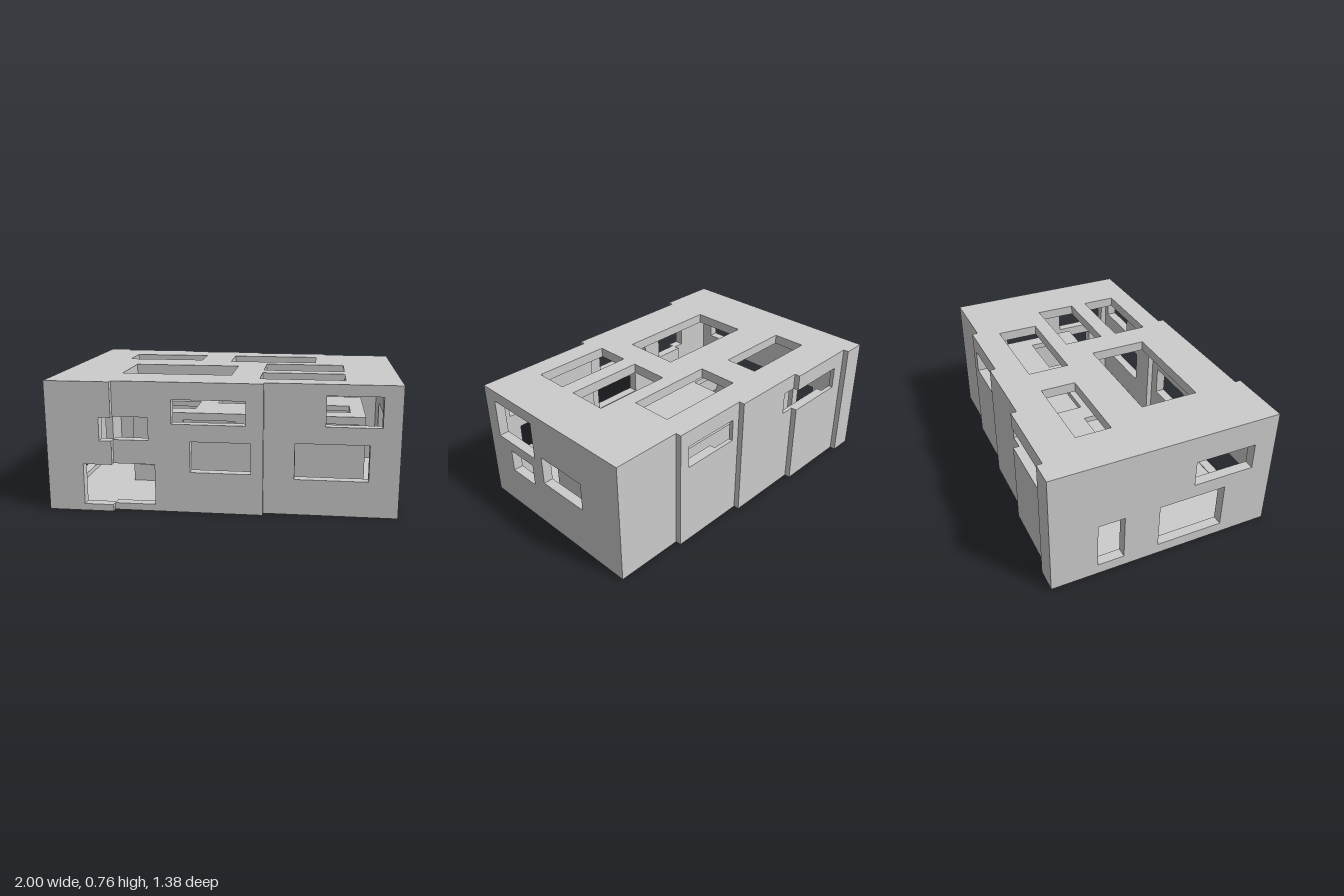
import * as THREE from 'three';

// A box is [x0, x1, y0, y1, z0, z1].
const inside = (b, x, y, z) =>
  x > b[0] && x < b[1] && y > b[2] && y < b[3] && z > b[4] && z < b[5];

// Builds the skin of (union of solids) minus (union of cuts) on a grid of their planes.
function carve(solids, cuts) {
  const all = [...solids, ...cuts];
  const planes = [0, 2, 4].map((k) =>
    [...new Set(all.flatMap((b) => [b[k], b[k + 1]]).map((v) => Math.round(v * 1000) / 1000))].sort((a, b) => a - b));
  const n = planes.map((p) => p.length - 1);
  const mid = (axis, i) => (planes[axis][i] + planes[axis][i + 1]) / 2;
  const filled = [];
  for (let i = 0; i < n[0]; i++) for (let j = 0; j < n[1]; j++) for (let k = 0; k < n[2]; k++) {
    const p = [mid(0, i), mid(1, j), mid(2, k)];
    filled.push(solids.some((b) => inside(b, ...p)) && !cuts.some((b) => inside(b, ...p)));
  }
  const isFilled = (c) => c.every((v, a) => v >= 0 && v < n[a]) && filled[(c[0] * n[1] + c[1]) * n[2] + c[2]];

  const position = [], normal = [];
  for (let i = 0; i < n[0]; i++) for (let j = 0; j < n[1]; j++) for (let k = 0; k < n[2]; k++) {
    const cell = [i, j, k];
    if (!isFilled(cell)) continue;
    for (let a = 0; a < 3; a++) for (const side of [0, 1]) {
      const next = [...cell];
      next[a] += side ? 1 : -1;
      if (isFilled(next)) continue;
      const u = (a + 1) % 3, v = (a + 2) % 3;
      const corner = (du, dv) => {
        const p = [];
        p[a] = planes[a][cell[a] + side];
        p[u] = planes[u][cell[u] + du];
        p[v] = planes[v][cell[v] + dv];
        return p;
      };
      const q = [corner(0, 0), corner(1, 0), corner(1, 1), corner(0, 1)];
      if (!side) q.reverse();
      const dir = [0, 0, 0];
      dir[a] = side ? 1 : -1;
      for (const c of [0, 1, 2, 0, 2, 3]) {
        position.push(...q[c]);
        normal.push(...dir);
      }
    }
  }
  const g = new THREE.BufferGeometry();
  g.setAttribute('position', new THREE.Float32BufferAttribute(position, 3));
  g.setAttribute('normal', new THREE.Float32BufferAttribute(normal, 3));
  return g;
}

// One stepped half of the house: strips between xs, each reaching from z = 0 to its own depth.
const strips = (xs, depths, x0, x1, y0, y1) => depths.map((d, i) =>
  [Math.max(xs[i], x0), Math.min(xs[i + 1], x1), y0, y1, Math.min(0, d), Math.max(0, d)]);

// Openings for each side of a shell
const frontHole = (x0, x1, y0, y1, z0, z1) => [x0, x1, y0, y1, z0, z1];
const sideHole = (x0, x1) => ([z0, z1, y0, y1]) => [x0, x1, y0, y1, z0, z1];
const roofHole = (y0, y1) => ([x0, x1, z0, z1]) => [x0, x1, y0, y1, z0, z1];

export function createModel() {
  const group = new THREE.Group();
  const material = new THREE.MeshStandardMaterial({ color: 0xcccccc });
  const add = (name, geometry) => {
    const mesh = new THREE.Mesh(geometry, material);
    mesh.name = name;
    group.add(mesh);
  };

  // Outer shell: stepped front and back, floor and roof
  const H = 0.76, T = 0.06, floor = 0.035;
  const frontX = [-1, -0.62, 0.24, 1], frontZ = [0.686, 0.651, 0.616];
  const backX = [-1, -0.86, -0.38, 0.10, 0.58, 1];
  const backInnerX = [-1, -0.69, -0.21, 0.275, 0.76, 1];
  const backZ = [-0.689, -0.655, -0.62, -0.586, -0.551];
  const solids = [
    ...strips(frontX, frontZ, -1, 1, 0, H),
    ...strips(backX, backZ, -1, 1, 0, H),
  ];
  const room = [
    ...strips(frontX, frontZ.map((z) => z - T), -1 + T, 1 - T, floor, H - T),
    ...strips(backInnerX, backZ.map((z) => z + T), -1 + T, 1 - T, floor, H - T),
  ];
  const frontWindows = [
    [-0.79, -0.38, 0.04, 0.28], [-0.69, -0.415, 0.42, 0.555], [-0.28, 0.14, 0.52, 0.66],
    [-0.175, 0.17, 0.24, 0.42], [0.415, 0.83, 0.21, 0.42], [0.585, 0.895, 0.52, 0.695],
  ].map((w) => frontHole(...w, 0.5, 0.8));
  const backWindows = [
    [0.15, 0.515, 0.52, 0.66], [-0.775, -0.29, 0.52, 0.66],
  ].map((w) => frontHole(...w, -0.8, -0.45));
  const rightWindows = [
    [0.175, 0.52, 0.45, 0.69], [0.205, 0.415, 0.245, 0.385], [-0.24, 0.105, 0.31, 0.49],
  ].map(sideHole(0.9, 1.1));
  const leftWindows = [
    [-0.41, -0.25, 0.065, 0.35], [-0.035, 0.38, 0.065, 0.345], [0.175, 0.55, 0.43, 0.59],
  ].map(sideHole(-1.1, -0.9));
  const skylights = [
    [-0.73, -0.24, -0.42, -0.21], [-0.04, 0.515, -0.42, -0.17], [0.205, 0.69, -0.075, 0.17],
    [0.205, 0.69, 0.27, 0.48], [-0.625, 0.03, 0.03, 0.38],
  ].map(roofHole(0.65, 0.8));
  add('outerShell', carve(solids,
    [...room, ...frontWindows, ...backWindows, ...rightWindows, ...leftWindows, ...skylights]));

  // Middle shell: a smaller open-bottomed box standing inside
  const t = 0.035;
  add('middleShell', carve([[-0.62, 0.83, floor, 0.487, -0.43, 0.205]], [
    [-0.62 + t, 0.83 - t, floor, 0.487 - t, -0.43 + t, 0.205 - t],
    ...[[-0.585, -0.415, 0.14, 0.25], [-0.3, 0.03, 0.31, 0.44], [0.51, 0.79, 0.35, 0.44]]
      .map((w) => frontHole(...w, 0.15, 0.25)),
    ...[[-0.52, -0.24, -0.15, 0.07], [-0.12, 0.24, -0.28, -0.12], [0.41, 0.74, -0.12, 0.07]]
      .map(roofHole(0.44, 0.5)),
  ]));

  // Inner shell: the smallest box, under the middle roof
  add('innerShell', carve([[-0.22, 0.545, floor, 0.31, -0.31, 0.1]], [
    [-0.22 + t, 0.545 - t, floor, 0.31 - t, -0.31 + t, 0.1 - t],
    roofHole(0.25, 0.35)([-0.1, 0.07, -0.21, -0.08]),
    frontHole(0.1, 0.4, 0.1, 0.24, 0.05, 0.15),
  ]));

  return group;
}
